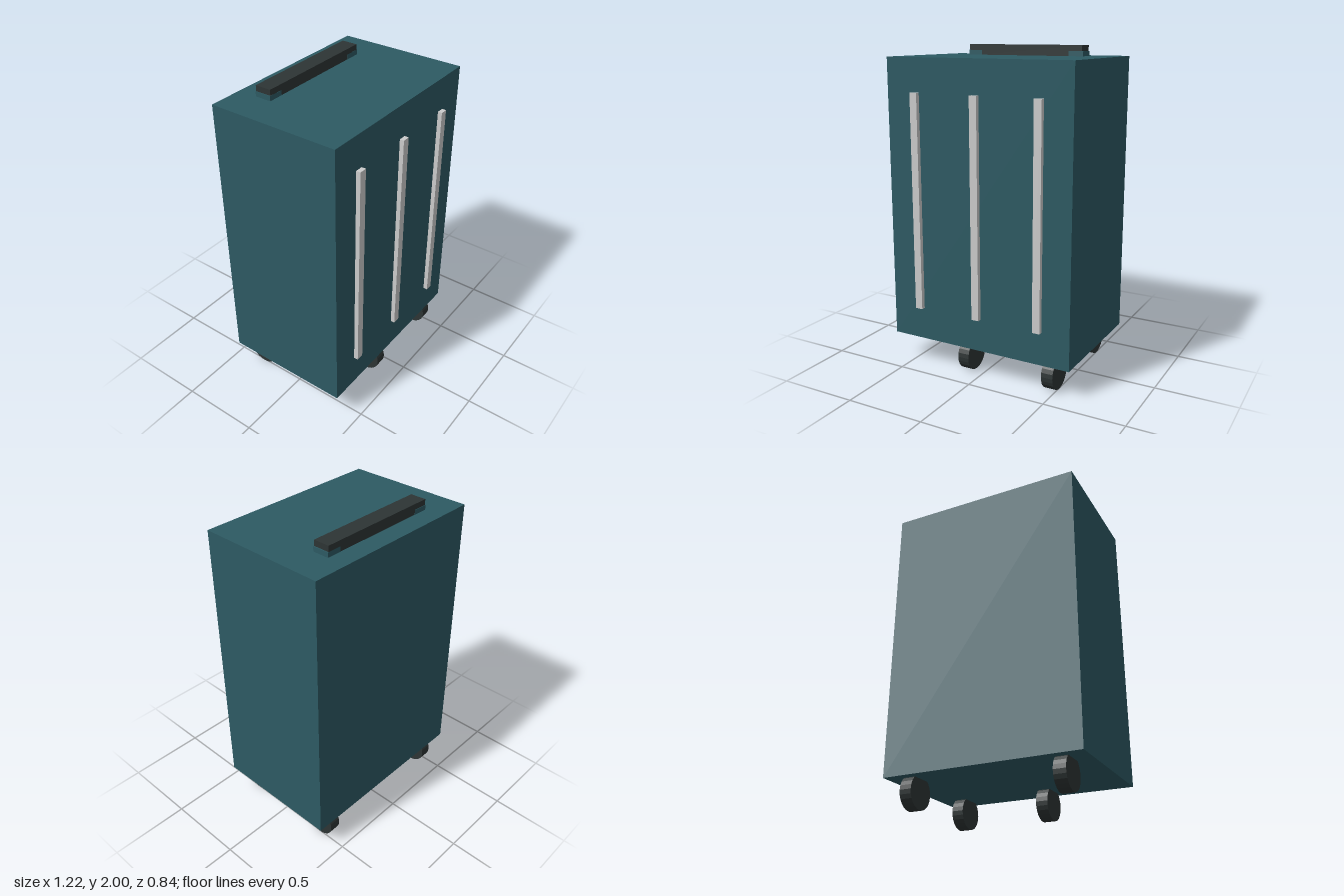
import * as THREE from 'three';

export function createModel() {
  const model = new THREE.Group();
  model.name = 'suitcase';

  const material = (name, color, flatShading = false) => {
    const m = new THREE.MeshStandardMaterial({ color, flatShading });
    m.name = name;
    return m;
  };
  const teal = material('teal shell', 0x2d5a63);
  const dark = material('dark rubber', 0x2d3434, true);
  const silver = material('silver trim', 0xcccccc);

  const add = (name, geometry, mat, x, y, z) => {
    const mesh = new THREE.Mesh(geometry, mat);
    mesh.name = name;
    mesh.position.set(x, y, z);
    model.add(mesh);
    return mesh;
  };

  // Box given by its minimum and maximum corners
  const box = (name, mat, [x0, y0, z0], [x1, y1, z1]) =>
    add(name, new THREE.BoxGeometry(x1 - x0, y1 - y0, z1 - z0), mat,
      (x0 + x1) / 2, (y0 + y1) / 2, (z0 + z1) / 2);

  // Shell
  box('body', teal, [-0.612, 0.18, -0.422], [0.612, 1.935, 0.395]);

  // Vertical ribs on the front
  for (const x of [-0.41, 0, 0.41]) {
    box('rib', silver, [x - 0.024, 0.385, 0.39], [x + 0.024, 1.73, 0.422]);
  }

  // Carrying grip with a mount under each end
  box('grip', dark, [-0.396, 1.93, -0.299], [0.394, 2, -0.198]);
  for (const side of [-1, 1]) {
    const x0 = Math.min(side * 0.305, side * 0.4);
    box('gripMount', teal, [x0, 1.93, -0.3], [x0 + 0.095, 1.965, -0.197]);
  }

  // Wheels, axle along x; the front pair is set unevenly
  const wheel = new THREE.CylinderGeometry(0.102, 0.102, 0.074, 24);
  wheel.rotateZ(Math.PI / 2);
  for (const [name, x, z] of [
    ['frontLeftWheel', 0.466, 0.283],
    ['frontRightWheel', -0.11, 0.283],
    ['backLeftWheel', 0.466, -0.304],
    ['backRightWheel', -0.47, -0.304],
  ]) add(name, wheel, dark, x, 0.102, z);

  return model;
}
